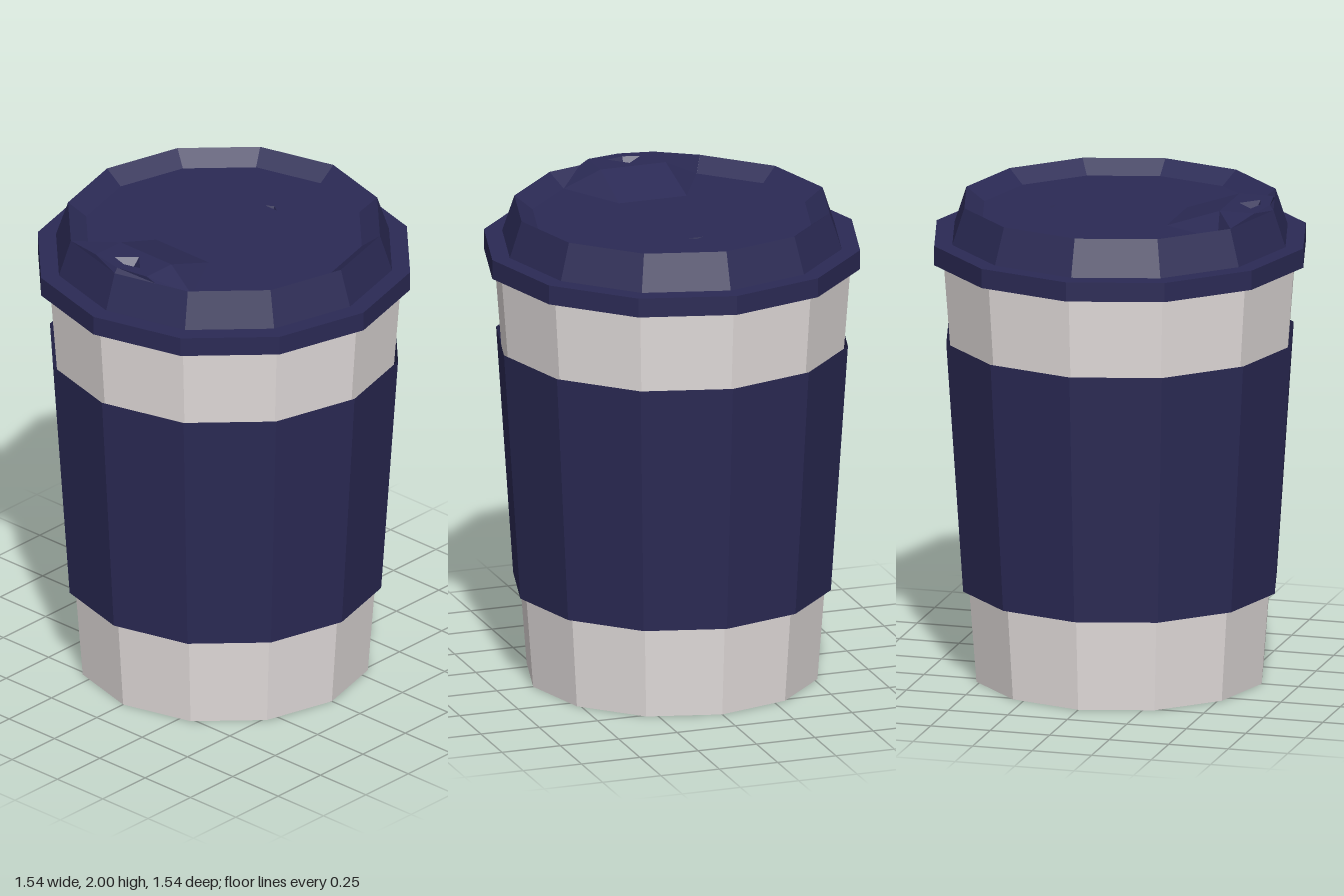
import * as THREE from 'three';

const SIDES = 12;
const WELL = 1.925; // height of the sunken lid floor
const TOP = 2; // height of the spout

// Give every face its own flat normal
function faceted(geometry) {
  const g = geometry.index ? geometry.toNonIndexed() : geometry;
  g.computeVertexNormals();
  return g;
}

// Twelve-sided turned part from a [radius, height] profile
function turned(profile) {
  const points = profile.map(([r, y]) => new THREE.Vector2(r, y));
  return faceted(new THREE.LatheGeometry(points, SIDES));
}

// Flat-shaded surface from a list of triangle corners
function triangles(corners) {
  const g = new THREE.BufferGeometry();
  g.setAttribute('position', new THREE.Float32BufferAttribute(corners.flat(), 3));
  return faceted(g);
}

// Horizontal face at height y from an [x, z] outline with one hole
function plate(outline, hole, y) {
  const flat = (a) => a.map(([x, z]) => new THREE.Vector2(x, -z));
  const shape = new THREE.Shape(flat(outline));
  shape.holes.push(new THREE.Path(flat(hole)));
  return new THREE.ShapeGeometry(shape).rotateX(-Math.PI / 2).translate(0, y, 0);
}

// Pointed pit below a hole
function pit(hole, y, depth) {
  const cz = hole.reduce((s, [, z]) => s + z, 0) / hole.length;
  return triangles(hole.flatMap(([x, z], i) => {
    const [nx, nz] = hole[(i + 1) % hole.length];
    return [[x, y, z], [nx, y, nz], [0, y - depth, cz]];
  }));
}

export function createModel() {
  const group = new THREE.Group();
  const paper = new THREE.MeshStandardMaterial({ color: 0xe4dedd, side: THREE.DoubleSide });
  paper.name = 'warm grey paper';
  const navy = new THREE.MeshStandardMaterial({ color: 0x2b2a55, side: THREE.DoubleSide });
  navy.name = 'navy';

  const add = (name, geometry, material) => {
    const mesh = new THREE.Mesh(geometry, material);
    mesh.name = name;
    group.add(mesh);
  };

  // Tapered cup with a slightly recessed base
  add('cup', turned([[0, 0.042], [0.567, 0.042], [0.595, 0], [0.734, 1.8]]), paper);

  // Open sleeve around the middle
  add('sleeve', turned([[0.65, 0.38], [0.72, 1.42]]), navy);

  // Lid: brim, sloping wall, sharp ridge and slope down to the well
  add('lid', turned([[0.77, 1.75], [0.77, 1.83], [0.695, 1.83], [0.645, 1.98], [0.57, WELL]]), navy);

  // Floor of the well with a small vent
  const ring = [];
  for (let i = 0; i < SIDES; i++) {
    const a = (i / SIDES) * Math.PI * 2;
    ring.push([0.57 * Math.cos(a), 0.57 * Math.sin(a)]);
  }
  const vent = [[-0.033, -0.277], [0.033, -0.277], [0, -0.297]];
  add('lidFloor', plate(ring, vent, WELL), navy);
  add('vent', pit(vent, WELL, 0.03), navy);

  // Raised top of the spout with the drinking hole
  const mouth = [[0, 0.5], [-0.07, 0.57], [0, 0.59], [0.07, 0.57]];
  add('spoutTop', plate(
    [[-0.14, 0.46], [0.14, 0.46], [0.14, 0.605], [0, 0.63], [-0.14, 0.605]], mouth, TOP), navy);
  add('drinkingHole', pit(mouth, TOP, 0.06), navy);

  // Slopes joining the spout to the well and the ridge
  const p = {
    A: [-0.15, WELL, 0.24], B: [0.14, WELL, 0.24],
    C: [-0.14, TOP, 0.46], D: [0.14, TOP, 0.46],
    E: [-0.14, TOP, 0.605], F: [0.14, TOP, 0.605], M: [0, TOP, 0.63],
    G: [-0.322, 1.98, 0.559], K: [-0.285, WELL, 0.494], H: [0.285, WELL, 0.494],
    R: [-0.14, 1.98, 0.608], N: [0, 1.98, 0.645], P: [0.18, 1.98, 0.597],
  };
  const faces = 'ACD ADB AKC KGC CGE BDH DFH FPH GRE ERN ENM MNP MPF'.split(' ');
  add('spoutSlopes', triangles(faces.flatMap((f) => [...f].map((k) => p[k]))), navy);

  return group;
}
